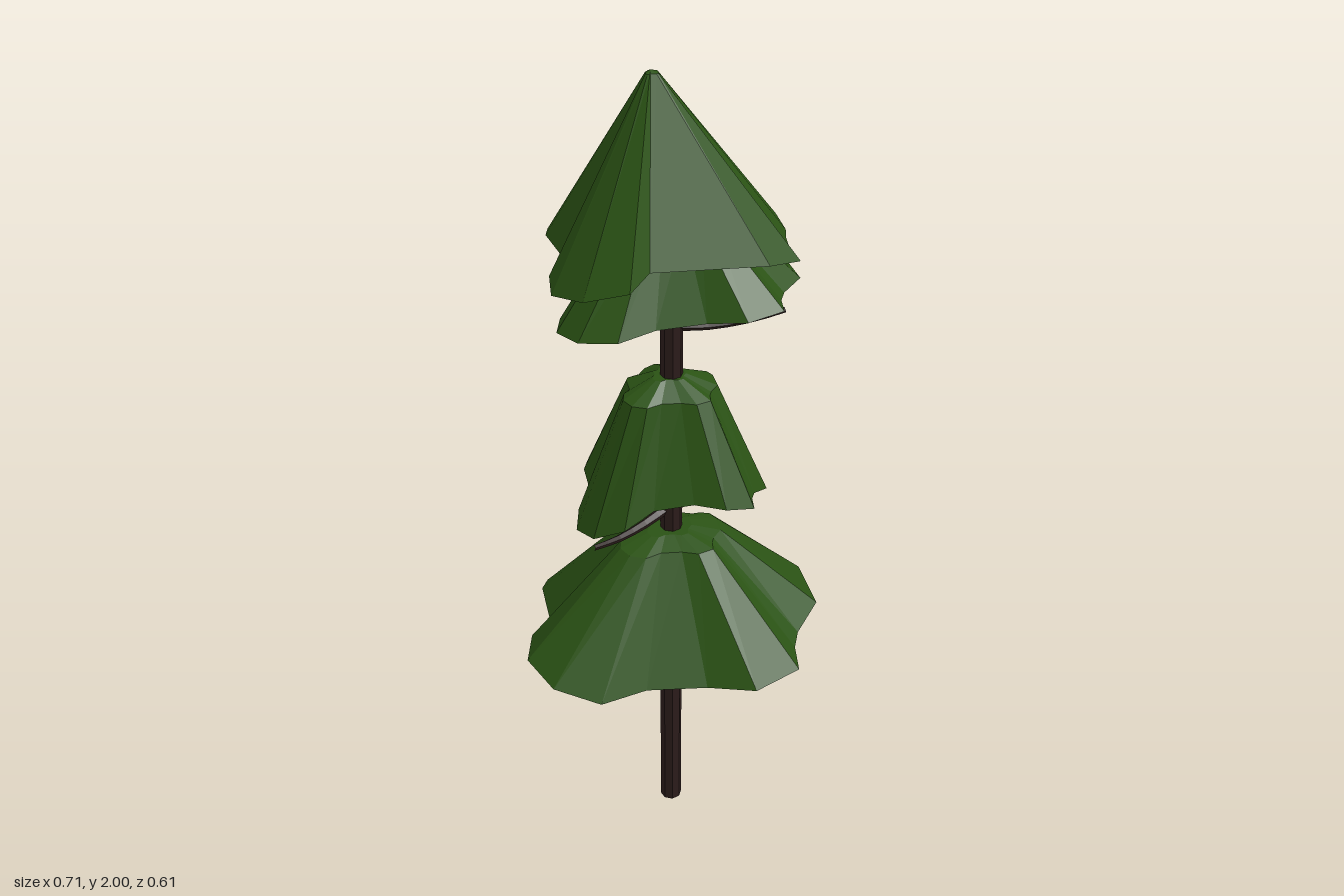
import * as THREE from 'three';

const leaf = new THREE.MeshStandardMaterial({ color: 0x2a5214, flatShading: true });
const bark = new THREE.MeshStandardMaterial({ color: 0x2c1d1b, flatShading: true });

// Rim outlines as [x, z], running back, left, front, right
const lowRim = [
  [-.065, -.31], [.036, -.3], [.107, -.185], [.193, -.158], [.235, -.163], [.307, -.149], [.342, -.09], [.355, .057],
  [.292, .141], [.275, .189], [.269, .265], [.162, .304], [.053, .267], [-.088, .258], [-.198, .304], [-.303, .26],
  [-.355, .168], [-.338, .076], [-.29, .021], [-.3, -.109], [-.284, -.145], [-.197, -.179], [-.145, -.258],
];
const topRim = [
  [-.095, -.233], [-.017, -.238], [.053, -.156], [.12, -.145], [.216, -.158], [.25, -.115], [.25, -.01], [.238, .048],
  [.23, .124], [.24, .183], [.166, .24], [-.07, .231], [-.116, .288], [-.204, .254], [-.26, .18], [-.258, .109],
  [-.227, .059], [-.252, -.048], [-.246, -.07], [-.183, -.109], [-.153, -.181],
];

// Smaller copies of the low rim for the middle tiers
const smallRim = (sx, sz, dx, dz) => lowRim.map(([x, z]) => [x * sx + dx, z * sz + dz]);

// Skirt of foliage: rings [scale, height] stacked from the underside, over the rim, to the tip
function tier(name, rim, cx, rimY, under, upper) {
  const rings = [...under, [1, rimY], ...upper];
  const rows = rings.map(([s, y]) => rim.map(([x, z]) => [
    cx + (x - cx) * s,
    typeof y === 'function' ? y(x, z) : y,
    z * s,
  ]));
  const pos = [];
  for (let r = 0; r < rows.length - 1; r++) {
    for (let i = 0; i < rim.length; i++) {
      const j = (i + 1) % rim.length;
      const a = rows[r], b = rows[r + 1];
      if (rings[r][0] > 0) pos.push(...a[i], ...b[i], ...a[j]);
      if (rings[r + 1][0] > 0) pos.push(...a[j], ...b[i], ...b[j]);
    }
  }
  const geo = new THREE.BufferGeometry();
  geo.setAttribute('position', new THREE.Float32BufferAttribute(pos, 3));
  geo.computeVertexNormals();
  const mesh = new THREE.Mesh(geo, leaf);
  mesh.name = name;
  return mesh;
}

// Curved twig tapering to its tip
function branch(name, points) {
  const curve = new THREE.CatmullRomCurve3(points.map((p) => new THREE.Vector3(...p)));
  const segs = 6, sides = 5;
  const geo = new THREE.TubeGeometry(curve, segs, 0.013, sides, false);
  const p = geo.attributes.position, v = new THREE.Vector3();
  for (let i = 0; i < p.count; i++) {
    const t = Math.floor(i / (sides + 1)) / segs;
    const c = curve.getPointAt(t);
    v.fromBufferAttribute(p, i).sub(c).multiplyScalar(1 - 0.5 * t).add(c);
    p.setXYZ(i, v.x, v.y, v.z);
  }
  geo.computeVertexNormals();
  const mesh = new THREE.Mesh(geo, bark);
  mesh.name = name;
  return mesh;
}

export function createModel() {
  const tree = new THREE.Group();
  tree.name = 'pineTree';

  // Trunk
  const trunk = new THREE.Mesh(new THREE.CylinderGeometry(0.025, 0.027, 1.8, 8), bark);
  trunk.position.set(0.006, 0.9, 0.002);
  trunk.name = 'trunk';
  tree.add(trunk);

  // Foliage, bottom to top; the rims sag along a slightly turned axis
  const sag = (x, z) => (0.97 * x - 0.22 * z) ** 2;
  tree.add(tier('lowerFoliage', lowRim, 0, (x) => 0.61 + 0.4 * x * x,
    [[0, 0.71], [0.45, 0.71]], [[0.34, 0.878], [0.15, 0.892], [0, 0.892]]));
  tree.add(tier('middleFoliage', smallRim(0.63, 0.62, 0, 0), 0, (x, z) => 1.065 - 1.5 * sag(x, z),
    [[0, 1.065]], [[0.48, 1.278], [0.17, 1.308], [0, 1.308]]));
  tree.add(tier('upperFoliage', smallRim(0.74, 0.69, 0.014, -0.006), 0, (x, z) => 1.51 + 0.1 * x + 0.07 * z,
    [[0, 1.525]], [[0.4, 1.7], [0.15, 1.73], [0, 1.73]]));
  tree.add(tier('topFoliage', topRim, -0.035, (x, z) => 1.685 + 0.03 * z - 0.85 * sag(x, z),
    [[0, 1.68]], [[0.05, 1.995], [0, 2]]));

  // Bare branches
  tree.add(branch('upperBranch', [[0, 1.43, 0], [0.08, 1.422, 0], [0.18, 1.43, 0], [0.255, 1.447, 0]]));
  tree.add(branch('lowerBranch', [[0, 0.945, 0], [-0.06, 0.94, 0.05], [-0.13, 0.948, 0.11], [-0.192, 0.968, 0.162]]));
  return tree;
}
